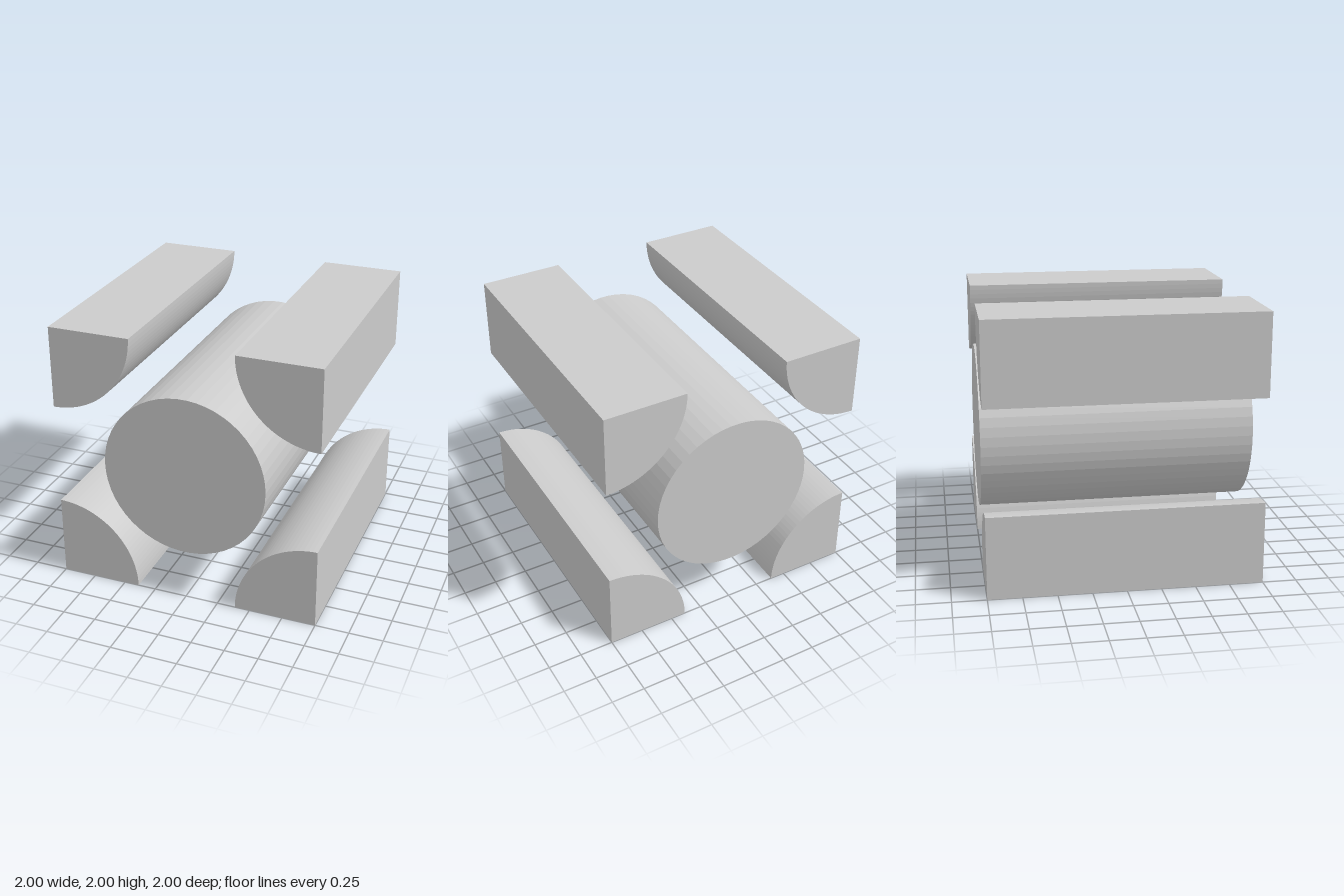
import * as THREE from 'three';

const RADIUS = 0.613;
const LENGTH = 2;

export function createModel() {
  const model = new THREE.Group();
  const material = new THREE.MeshStandardMaterial({ color: 0xcccccc, flatShading: true });

  // Whole rod through the middle, lying along z
  const rod = new THREE.CylinderGeometry(RADIUS, RADIUS, LENGTH, 54);
  rod.rotateY(Math.PI / 2).rotateX(Math.PI / 2);
  const centreRod = new THREE.Mesh(rod, material);
  centreRod.name = 'centreRod';
  centreRod.position.y = 1;
  model.add(centreRod);

  // Quarter rod with its sharp edge on the z axis
  const sector = new THREE.Shape();
  sector.moveTo(0, 0);
  sector.lineTo(RADIUS, 0);
  sector.absarc(0, 0, RADIUS, 0, Math.PI / 2, false);
  sector.closePath();
  const quarter = new THREE.ExtrudeGeometry(sector, {
    depth: LENGTH, bevelEnabled: false, curveSegments: 14,
  });
  quarter.translate(0, 0, -LENGTH / 2);

  // One quarter rod at each corner, turned to face the centre
  const corners = [
    ['lowerRightQuarterRod', -1, 0],
    ['lowerLeftQuarterRod', 1, 0],
    ['upperLeftQuarterRod', 1, 2],
    ['upperRightQuarterRod', -1, 2],
  ];
  corners.forEach(([name, x, y], i) => {
    const mesh = new THREE.Mesh(quarter, material);
    mesh.name = name;
    mesh.position.set(x, y, 0);
    mesh.rotation.z = i * Math.PI / 2;
    model.add(mesh);
  });

  return model;
}
